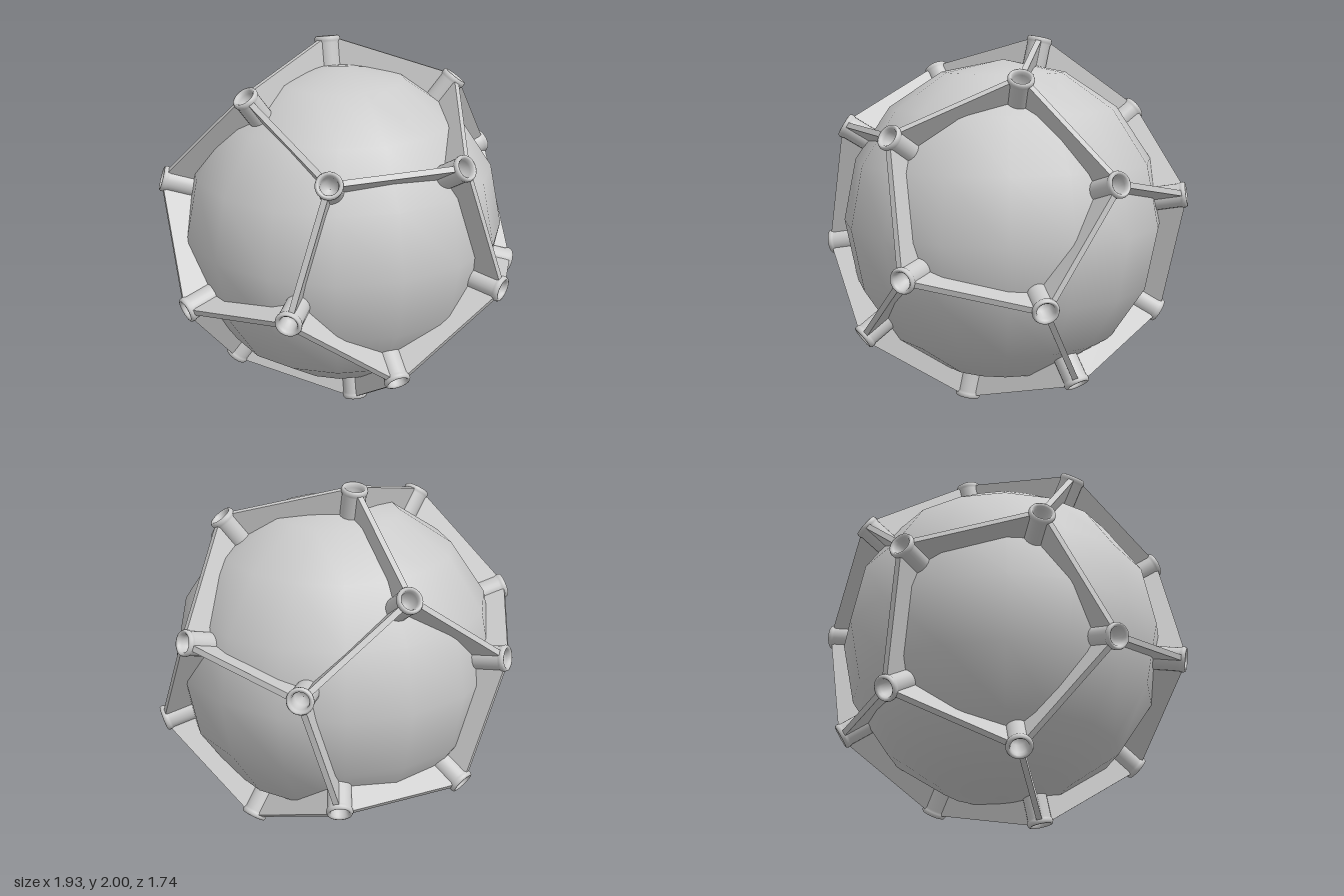
import * as THREE from 'three';

export function createModel() {
  const model = new THREE.Group();
  const mat = new THREE.MeshStandardMaterial({ color: 0xcccccc });
  const flat = new THREE.MeshStandardMaterial({ color: 0xcccccc, flatShading: true });
  const tubeMat = new THREE.MeshStandardMaterial({ color: 0xcccccc, side: THREE.DoubleSide });

  // Inner ball, bulging slightly through the faces of the cage
  const ball = new THREE.Mesh(new THREE.SphereGeometry(0.872, 16, 8), mat);
  ball.name = 'ball';
  ball.position.y = 1;
  model.add(ball);

  // Dodecahedral cage, one pentagon facing the front and leaning slightly up
  const cage = new THREE.Group();
  cage.name = 'cage';
  cage.position.y = 1;
  cage.rotation.x = -0.03;
  model.add(cage);

  // Corner directions: two rings of five, and their opposites
  const corners = [];
  for (let k = 0; k < 5; k++) {
    const a = -Math.PI / 2 + (k * Math.PI * 2) / 5;
    for (const [r, z] of [[0.607, 0.795], [0.982, 0.188]]) {
      const v = new THREE.Vector3(r * Math.cos(a), r * Math.sin(a), z).normalize();
      corners.push(v, v.clone().negate());
    }
  }

  // Hollow corner tube with a rounded lip
  const profile = [
    [0.063, 0.76], [0.063, 0.975], [0.068, 0.985], [0.069, 0.998], [0.064, 1.009],
    [0.056, 1.011], [0.048, 1.003], [0.044, 0.985], [0.042, 0.92], [0, 0.91],
  ].map(([x, y]) => new THREE.Vector2(x, y));
  const tubeGeo = new THREE.LatheGeometry(profile, 24);
  const up = new THREE.Vector3(0, 1, 0);
  for (const c of corners) {
    const tube = new THREE.Mesh(tubeGeo, tubeMat);
    tube.name = 'cornerTube';
    tube.quaternion.setFromUnitVectors(up, c);
    cage.add(tube);
  }

  // Edge wall: x along the edge, y outwards, ends tapering towards the centre
  const outer = 0.948, inner = 0.74;
  const wallGeo = new THREE.BoxGeometry(1, outer - inner, 0.03);
  wallGeo.translate(0, (outer + inner) / 2, 0);
  const p = wallGeo.attributes.position;
  for (let i = 0; i < p.count; i++) {
    const half = p.getY(i) * 0.382 - 0.052;
    p.setX(i, Math.sign(p.getX(i)) * half);
  }
  wallGeo.computeVertexNormals();

  corners.forEach((a, i) => corners.slice(i + 1).forEach((b) => {
    if (a.distanceTo(b) > 0.8) return;
    const along = b.clone().sub(a).normalize();
    const out = a.clone().add(b).normalize();
    const across = along.clone().cross(out);
    const wall = new THREE.Mesh(wallGeo, flat);
    wall.name = 'edgeWall';
    wall.quaternion.setFromRotationMatrix(new THREE.Matrix4().makeBasis(along, out, across));
    cage.add(wall);
  }));

  return model;
}
